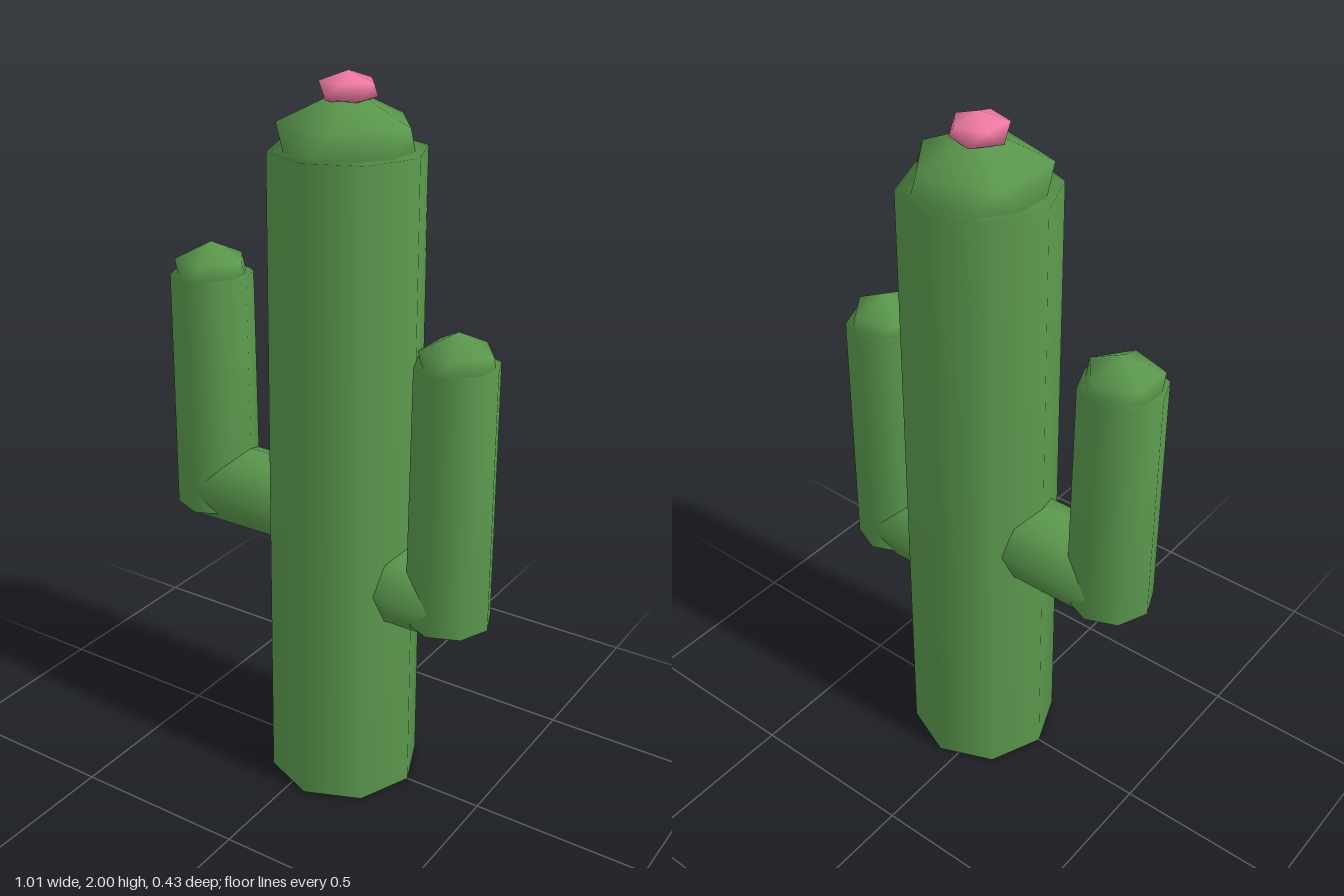
import * as THREE from 'three';
import { mergeVertices } from 'three/addons/utils/BufferGeometryUtils.js';

const green = new THREE.MeshStandardMaterial({ color: 0x5c9a4e });
const pink = new THREE.MeshStandardMaterial({ color: 0xf07aa4 });

// Weld all corners so the shading runs smoothly over every edge
function smooth(geometry) {
  geometry.deleteAttribute('normal');
  geometry.deleteAttribute('uv');
  const welded = mergeVertices(geometry, 1e-4);
  welded.computeVertexNormals();
  return welded;
}

function addMesh(parent, name, geometry, material) {
  const mesh = new THREE.Mesh(smooth(geometry), material);
  mesh.name = name;
  parent.add(mesh);
}

// Upright eight-sided stem between two heights
function stem(x, bottom, top, rBottom, rTop) {
  return new THREE.CylinderGeometry(rTop, rBottom, top - bottom, 8)
    .translate(x, (bottom + top) / 2, 0);
}

// Flattened icosahedron with a corner at the top and one towards +x
function dome(x, y, radius, height) {
  return new THREE.IcosahedronGeometry(1, 0)
    .rotateX(-Math.atan((1 + Math.sqrt(5)) / 2))
    .rotateY(Math.PI / 2)
    .scale(radius, height, radius)
    .translate(x, y, 0);
}

const TRUNK_X = 0.055;

// Side arm: a horizontal joint from the trunk, an upright stem and its dome
function createArm(name, x, jointY, bottom, top) {
  const arm = new THREE.Group();
  arm.name = name;
  const length = Math.abs(x - TRUNK_X);
  const joint = new THREE.CylinderGeometry(0.12, 0.12, length, 8)
    .rotateZ(Math.PI / 2)
    .translate((x + TRUNK_X) / 2, jointY, 0);
  addMesh(arm, 'armJoint', joint, green);
  addMesh(arm, 'armStem', stem(x, bottom, top, 0.12, 0.115), green);
  addMesh(arm, 'armDome', dome(x, top, 0.113, 0.087), green);
  return arm;
}

export function createModel() {
  const cactus = new THREE.Group();
  cactus.name = 'cactus';

  // Trunk with its dome and flower
  addMesh(cactus, 'trunk', stem(TRUNK_X, 0, 1.81, 0.216, 0.206), green);
  addMesh(cactus, 'trunkDome', dome(TRUNK_X, 1.81, 0.2, 0.15), green);
  addMesh(cactus, 'flower', dome(TRUNK_X, 1.955, 0.082, 0.045), pink);

  // Arms at different heights
  cactus.add(createArm('rightArm', -0.385, 0.8, 0.735, 1.42));
  cactus.add(createArm('leftArm', 0.383, 0.645, 0.577, 1.307));
  return cactus;
}
